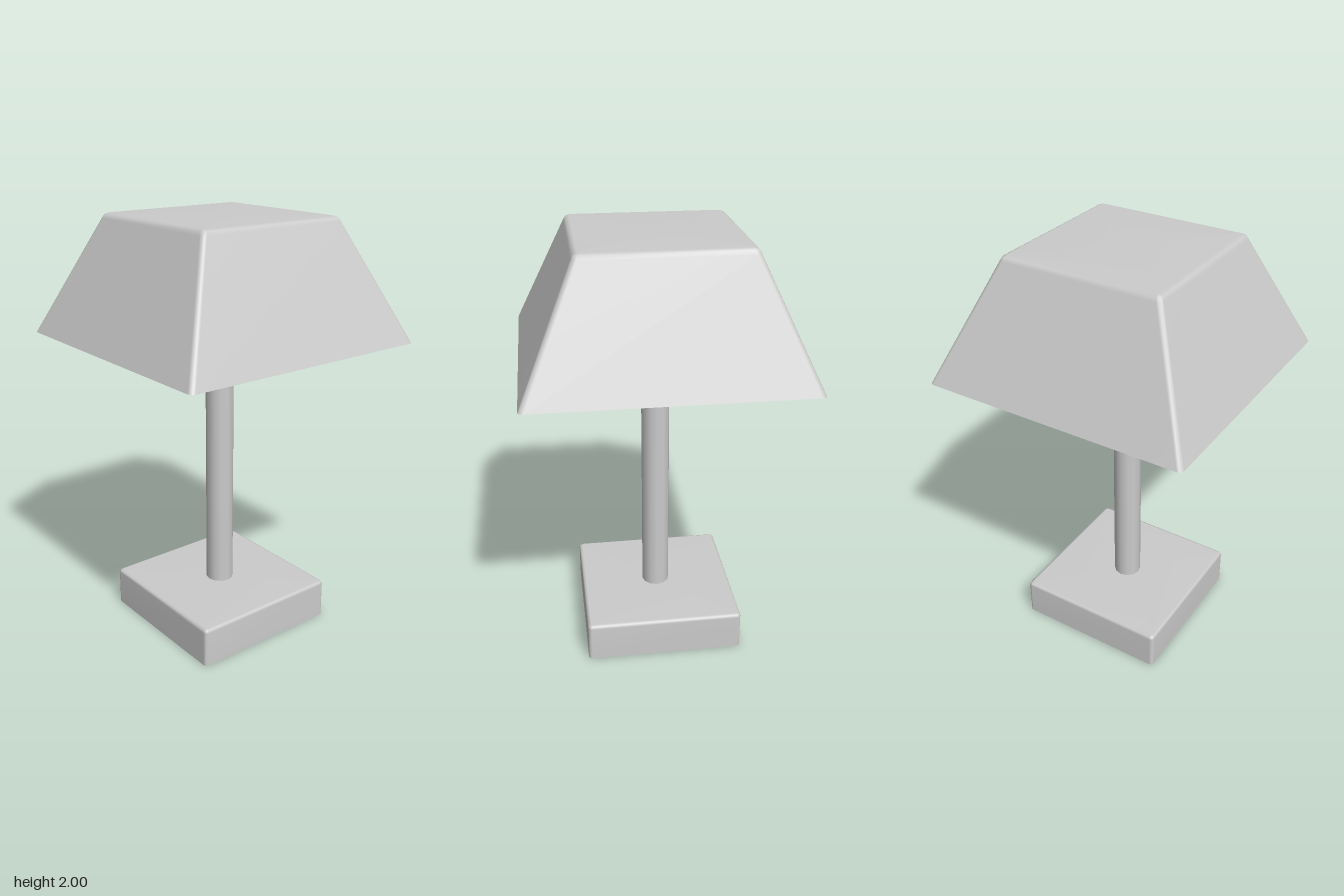
import * as THREE from 'three';

const material = new THREE.MeshStandardMaterial({ color: 0xcccccc, side: THREE.DoubleSide });

// Open-bottomed square shell with rounded corners; rings are [half width, height, corner radius]
function squareShell(rings) {
  const positions = [], index = [], arc = 3, n = 4 * (arc + 1);
  for (const [half, y, r] of rings) {
    for (let c = 0; c < 4; c++) {
      const mid = Math.PI / 4 + c * Math.PI / 2;
      const cx = Math.sign(Math.cos(mid)) * (half - r), cz = Math.sign(Math.sin(mid)) * (half - r);
      for (let i = 0; i <= arc; i++) {
        const a = (c + i / arc) * Math.PI / 2;
        positions.push(cx + r * Math.cos(a), y, cz + r * Math.sin(a));
      }
    }
  }
  for (let k = 0; k < rings.length - 1; k++) {
    for (let i = 0; i < n; i++) {
      const j = (i + 1) % n, a = k * n + i, b = k * n + j;
      index.push(a, a + n, b, b, a + n, b + n);
    }
  }
  // Flat top
  const last = (rings.length - 1) * n, centre = positions.length / 3;
  positions.push(0, rings[rings.length - 1][1], 0);
  for (let i = 0; i < n; i++) index.push(last + i, centre, last + (i + 1) % n);
  const geometry = new THREE.BufferGeometry();
  geometry.setAttribute('position', new THREE.Float32BufferAttribute(positions, 3));
  geometry.setIndex(index);
  geometry.computeVertexNormals();
  return geometry;
}

export function createModel() {
  const model = new THREE.Group();
  const add = (name, geometry) => {
    const mesh = new THREE.Mesh(geometry, material);
    mesh.name = name;
    model.add(mesh);
    return mesh;
  };

  // Hollow square foot
  add('base', squareShell([
    [0.375, 0, 0.018], [0.375, 0.172, 0.018], [0.37, 0.184, 0.016], [0.358, 0.189, 0.01],
  ]));

  // Upright post with a softened top rim
  const profile = [[0.067, 0.185], [0.067, 1.362], [0.063, 1.373], [0.052, 1.378], [0, 1.378]];
  add('post', new THREE.LatheGeometry(profile.map(([r, y]) => new THREE.Vector2(r, y)), 12));

  // Two thin arms rising from the top of the post
  [0, Math.PI * 2 / 3].forEach((angle, i) => {
    const start = new THREE.Vector3(0, 1.38, 0);
    const end = new THREE.Vector3(0.37 * Math.cos(angle), 1.515, -0.37 * Math.sin(angle));
    const along = end.clone().sub(start);
    const arm = add(i ? 'backArm' : 'sideArm', new THREE.CylinderGeometry(0.018, 0.018, along.length(), 10));
    arm.position.copy(start).add(end).multiplyScalar(0.5);
    arm.quaternion.setFromUnitVectors(new THREE.Vector3(0, 1, 0), along.normalize());
  });

  // Tapered shade, open below
  add('shade', squareShell([
    [0.625, 1.44, 0.022], [0.384, 1.976, 0.022], [0.375, 1.992, 0.018], [0.358, 2, 0.01],
  ]));

  // Small fitting under the shade top
  const fitting = add('fitting', new THREE.CylinderGeometry(0.05, 0.05, 0.04, 16));
  fitting.position.y = 1.976;

  return model;
}
